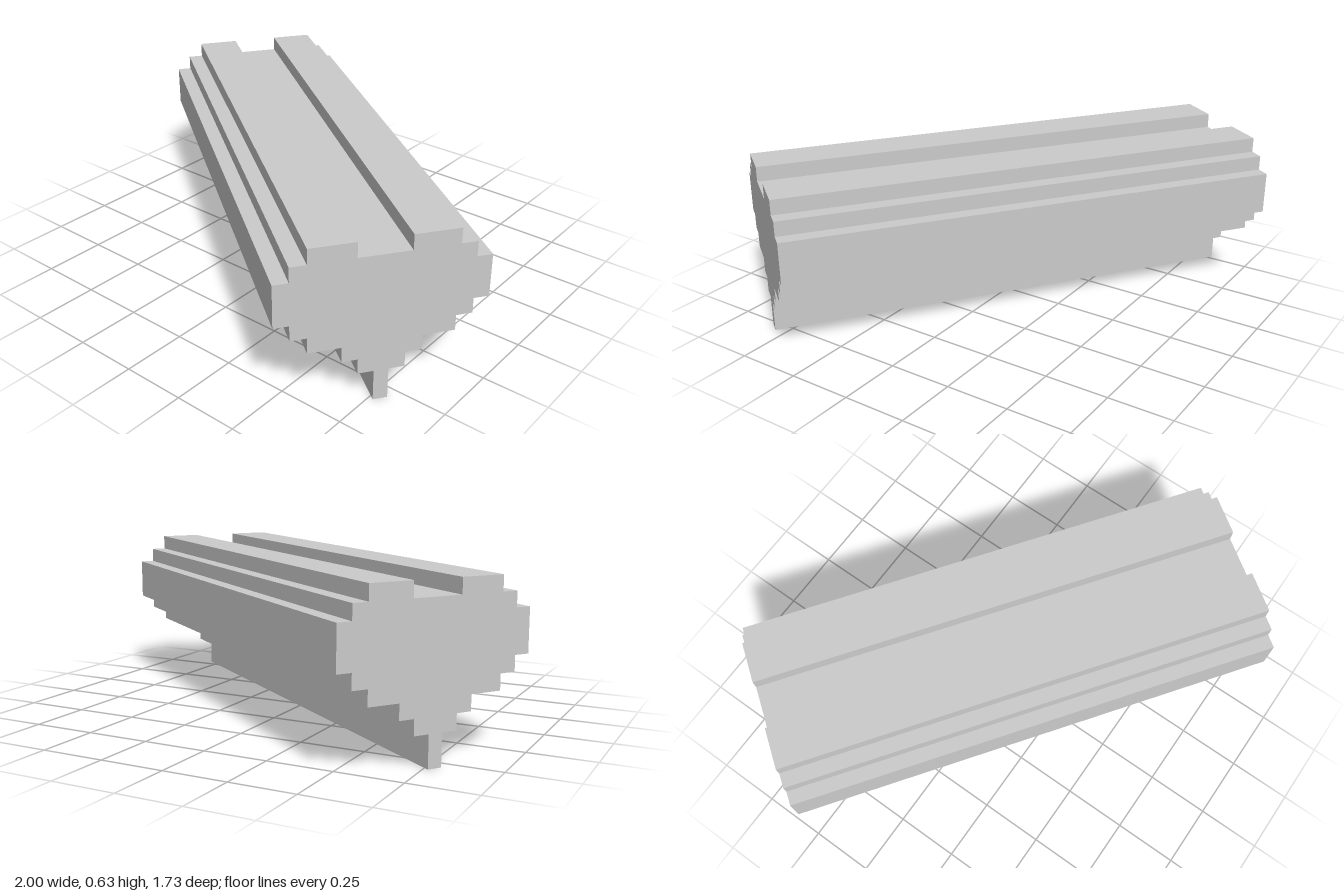
import * as THREE from 'three';

export function createModel() {
  const group = new THREE.Group();
  const length = 1.933;

  // Right half of the stepped heart: [half width, top of step], bottom to top
  const steps = [
    [0.026, 0.12], [0.083, 0.178], [0.14, 0.236], [0.257, 0.295],
    [0.315, 0.353], [0.37, 0.515], [0.315, 0.572], [0.257, 0.63],
  ];
  const half = [];
  let y = 0;
  for (const [w, top] of steps) {
    half.push([w, y], [w, top]);
    y = top;
  }
  // Notch between the two lobes
  half.push([0.093, 0.63], [0.093, 0.572]);

  // Mirror the half to close the outline
  const outline = [...half, ...half.slice().reverse().map(([x, h]) => [-x, h])];
  const shape = new THREE.Shape(outline.map(([x, h]) => new THREE.Vector2(x, h)));

  // Long bar with the heart section, turned diagonally on the ground
  const geometry = new THREE.ExtrudeGeometry(shape, { depth: length, bevelEnabled: false });
  geometry.translate(0, 0, -length / 2);
  const bar = new THREE.Mesh(
    geometry,
    new THREE.MeshStandardMaterial({ color: 0xcccccc, flatShading: true })
  );
  bar.name = 'steppedHeartBar';
  bar.rotation.y = THREE.MathUtils.degToRad(54.05);
  group.add(bar);

  return group;
}
